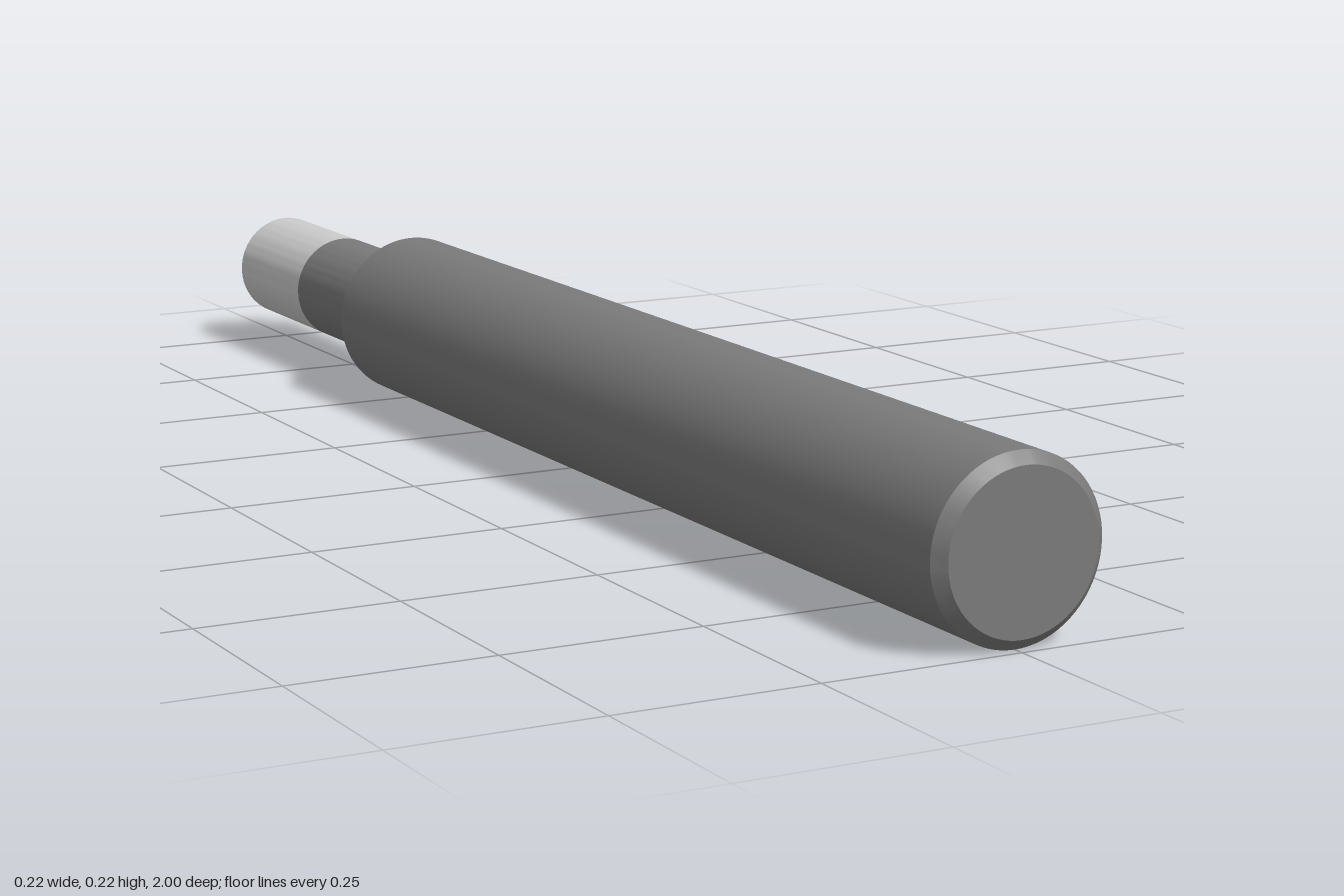
import * as THREE from 'three';
import { toCreasedNormals } from 'three/addons/utils/BufferGeometryUtils.js';

const R = 0.11;       // shank radius
const r = 0.073;      // neck and cutting tip radius
const joint = -0.78;  // where the neck meets the tip

// Turned part along z; profile is [radius, z] from back to front
function turned(name, profile, color) {
  const points = profile.map(([x, z]) => new THREE.Vector2(x, z));
  const lathe = new THREE.LatheGeometry(points, 72).rotateX(Math.PI / 2);
  const mesh = new THREE.Mesh(
    toCreasedNormals(lathe, 0.3),
    new THREE.MeshStandardMaterial({ color })
  );
  mesh.name = name;
  mesh.position.y = R;
  return mesh;
}

export function createModel() {
  const group = new THREE.Group();
  group.name = 'endMill';

  // Shank with chamfered front end, tapering into the neck
  group.add(turned('shank', [
    [r, joint], [r, -0.604], [R, -0.54], [R, 0.986], [0.096, 1], [0, 1],
  ], 0x7a7a7a));

  // Cutting tip with a small edge chamfer
  group.add(turned('cuttingTip', [
    [0, -1], [r - 0.005, -1], [r, -0.995], [r, joint],
  ], 0xcccccc));

  return group;
}
